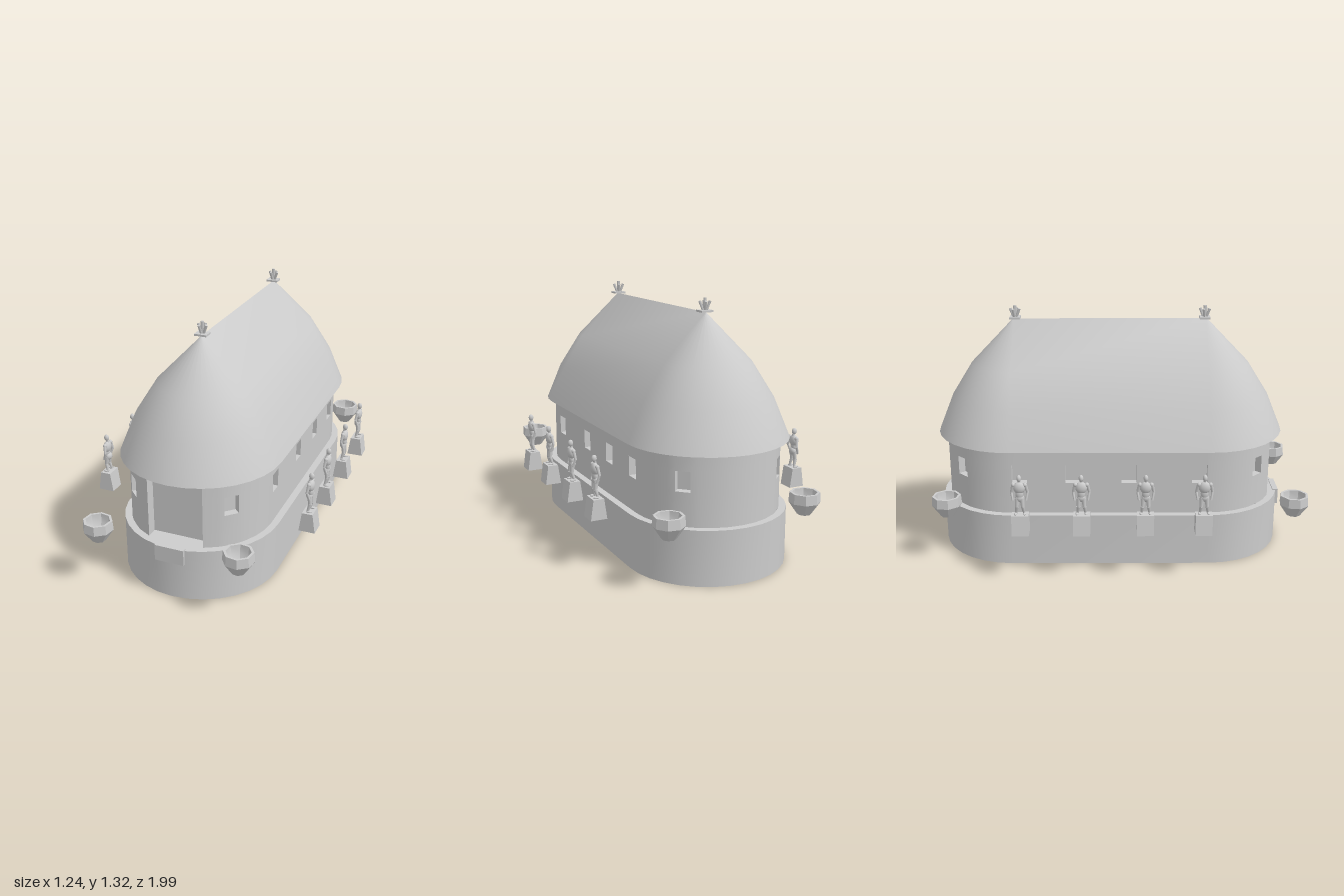
import * as THREE from 'three';
import { toCreasedNormals } from 'three/addons/utils/BufferGeometryUtils.js';

const mat = new THREE.MeshStandardMaterial({ color: 0xcccccc, side: THREE.DoubleSide });
const HALF = 0.52;       // half length of the ridge and of the straight sides
const EAVE = 0.635, SILL = 0.28, WALL_R = 0.378;

function add(parent, geometry, name, x = 0, y = 0, z = 0) {
  const mesh = new THREE.Mesh(geometry, mat);
  mesh.name = name;
  mesh.position.set(x, y, z);
  parent.add(mesh);
  return mesh;
}

// Tapered rod between two points
function rod(parent, name, a, b, ra, rb, sides = 8) {
  const p = new THREE.Vector3(...a), q = new THREE.Vector3(...b);
  const mesh = add(parent, new THREE.CylinderGeometry(rb, ra, p.distanceTo(q), sides), name);
  mesh.position.copy(p).add(q).multiplyScalar(0.5);
  mesh.quaternion.setFromUnitVectors(new THREE.Vector3(0, 1, 0), q.sub(p).normalize());
}

function ball(parent, name, x, y, z, sx, sy, sz) {
  add(parent, new THREE.SphereGeometry(1, 12, 8), name, x, y, z).scale.set(sx, sy, sz);
}

// Collects quads, dropping collapsed triangles
function quadBuilder() {
  const pos = [];
  const tri = (a, b, c) => {
    const n = b.clone().sub(a).cross(c.clone().sub(a));
    if (n.length() > 1e-9) for (const p of [a, b, c]) pos.push(p.x, p.y, p.z);
  };
  return {
    quad(a, b, c, d) { tri(a, b, c); tri(a, c, d); },
    build() {
      const g = new THREE.BufferGeometry();
      g.setAttribute('position', new THREE.Float32BufferAttribute(pos, 3));
      return toCreasedNormals(g, 0.6);
    },
  };
}

// Stations round the stadium plan; "open" marks the cell that starts there
function arc(cz, a0, openings) {
  const list = [];
  for (let i = 0; i <= 16; i++) {
    const a = a0 + (i / 16) * Math.PI;
    if (!openings.some(o => Math.abs(a - o.a) <= o.half + 0.02)) list.push({ cz, a });
  }
  for (const o of openings) {
    list.push({ cz, a: o.a - o.half, open: o.open }, { cz, a: o.a + o.half });
  }
  return list.sort((p, q) => p.a - q.a);
}

function plan(withOpenings) {
  const win = a => ({ a, half: 0.1, open: 'window' });
  const q = Math.PI / 4;
  const back = withOpenings ? [win(q), win(3 * q)] : [];
  const front = withOpenings ? [win(5 * q), { a: 6 * q, half: 0.4, open: 'door' }, win(7 * q)] : [];
  const zs = withOpenings ? [0.47, 0.1, -0.195, -0.475] : [];
  const right = zs.flatMap(z => [{ cz: z + 0.04, a: 0, open: 'window' }, { cz: z - 0.04, a: 0 }]);
  const left = [...zs].reverse().flatMap(z =>
    [{ cz: z - 0.04, a: Math.PI, open: 'window' }, { cz: z + 0.04, a: Math.PI }]);
  return [...right, ...arc(-HALF, 0, back), ...left, ...arc(HALF, Math.PI, front)];
}

const at = (s, r, y) => new THREE.Vector3(r * Math.cos(s.a), y, s.cz - r * Math.sin(s.a));

// Sweeps a [radius, height] profile round the plan
function sweep(profile) {
  const q = quadBuilder(), st = plan(false);
  st.forEach((s, i) => {
    const t = st[(i + 1) % st.length];
    for (let k = 0; k + 1 < profile.length; k++) {
      const [r0, y0] = profile[k], [r1, y1] = profile[k + 1];
      q.quad(at(s, r0, y0), at(t, r0, y0), at(t, r1, y1), at(s, r1, y1));
    }
  });
  return q.build();
}

// Wall with sunken windows and door
function wallGeometry() {
  const q = quadBuilder(), st = plan(true), ys = [SILL, 0.45, 0.55, EAVE];
  const cell = (s, t, y0, y1, depth) => {
    const c = [at(s, WALL_R, y0), at(t, WALL_R, y0), at(t, WALL_R, y1), at(s, WALL_R, y1)];
    if (!depth) return q.quad(...c);
    const a = (s.a + t.a) / 2;
    const inward = new THREE.Vector3(-Math.cos(a), 0, Math.sin(a)).multiplyScalar(depth);
    const d = c.map(p => p.clone().add(inward));
    q.quad(...d);
    for (let k = 0; k < 4; k++) q.quad(c[k], c[(k + 1) % 4], d[(k + 1) % 4], d[k]);
  };
  st.forEach((s, i) => {
    const t = st[(i + 1) % st.length];
    if (s.open === 'door') cell(s, t, SILL, EAVE, 0.06);
    else for (let k = 0; k < 3; k++) {
      cell(s, t, ys[k], ys[k + 1], s.open && k === 1 ? 0.04 : 0);
    }
  });
  return q.build();
}

// Crown of prongs on a square plate
function finial() {
  const g = new THREE.Group();
  g.name = 'ridgeFinial';
  add(g, new THREE.BoxGeometry(0.064, 0.01, 0.056), 'finialPlate', 0, 0.007, 0);
  rod(g, 'finialCentre', [0, 0.01, 0], [0, 0.072, 0], 0.009, 0.009, 4);
  for (let i = 0; i < 4; i++) {
    const a = i * Math.PI / 2 + 0.3, c = Math.cos(a), s = Math.sin(a);
    rod(g, 'finialProng', [0.008 * c, 0.01, 0.008 * s], [0.026 * c, 0.056, 0.026 * s], 0.007, 0.008, 4);
  }
  return g;
}

// Standing figure on a pedestal, facing +x
function statue() {
  const g = new THREE.Group();
  g.name = 'statue';
  const shape = new THREE.Shape([[-0.043, 0.266], [0.043, 0.266], [0.028, 0.37], [-0.028, 0.37]]
    .map(p => new THREE.Vector2(...p)));
  const ped = new THREE.ExtrudeGeometry(shape, { depth: 0.086, bevelEnabled: false });
  add(g, ped, 'pedestal', 0, 0, -0.043);
  ball(g, 'head', 0.004, 0.566, 0, 0.014, 0.018, 0.012);
  rod(g, 'neck', [-0.003, 0.53, 0], [0.002, 0.56, 0], 0.008, 0.007);
  ball(g, 'chest', 0.002, 0.514, 0, 0.019, 0.032, 0.03);
  ball(g, 'waist', 0.002, 0.482, 0, 0.014, 0.03, 0.02);
  ball(g, 'hips', -0.003, 0.458, 0, 0.018, 0.022, 0.023);
  for (const s of [-1, 1]) {
    rod(g, 'thigh', [0, 0.458, 0.012 * s], [0.005, 0.412, 0.015 * s], 0.013, 0.009);
    rod(g, 'calf', [0.005, 0.414, 0.015 * s], [-0.005, 0.372, 0.021 * s], 0.01, 0.006);
    ball(g, 'foot', 0.004, 0.374, 0.023 * s, 0.016, 0.006, 0.008);
    ball(g, 'shoulder', 0, 0.53, 0.029 * s, 0.011, 0.011, 0.011);
    rod(g, 'upperArm', [0, 0.53, 0.031 * s], [-0.006, 0.488, 0.041 * s], 0.009, 0.007);
    rod(g, 'forearm', [-0.006, 0.49, 0.041 * s], [0.007, 0.448, 0.034 * s], 0.007, 0.005);
  }
  return g;
}

function urnGeometry() {
  const profile = [[0, 0.267], [0.036, 0.267], [0.079, 0.33], [0.075, 0.379],
    [0.062, 0.379], [0.058, 0.335], [0.035, 0.3], [0, 0.3]];
  return toCreasedNormals(
    new THREE.LatheGeometry(profile.map(p => new THREE.Vector2(...p)), 8, 0.25), 0.5);
}

export function createModel() {
  const model = new THREE.Group();
  model.name = 'longhouse';

  const house = new THREE.Group();
  house.name = 'house';
  house.position.set(0.012, 0, -0.06);
  model.add(house);
  add(house, sweep([[0.415, 0], [0.415, SILL], [WALL_R, SILL]]), 'base');
  add(house, wallGeometry(), 'wall');
  add(house, sweep([[WALL_R, EAVE], [0.423, EAVE], [0.343, 0.828], [0.23, 1.008], [0, 1.246]]), 'roof');

  // Floor and head of the door recess, and the block in front of it
  for (const [name, y] of [['doorstep', SILL - 0.004], ['doorHead', EAVE + 0.004]]) {
    add(house, new THREE.BoxGeometry(0.294, 0.008, 0.09), name, 0, y, HALF + 0.333);
  }
  add(house, new THREE.BoxGeometry(0.156, 0.085, 0.03), 'frontBlock', -0.004, 0.243, HALF + 0.406);

  for (const s of [-1, 1]) {
    const f = finial();
    f.position.set(0, 1.244, s * (HALF - 0.012));
    house.add(f);
  }

  // Rows of statues on both sides
  for (const s of [-1, 1]) {
    for (const z of [0.415, 0.12, -0.203, -0.513]) {
      const fig = statue();
      fig.position.set(s * 0.578, 0, z);
      if (s < 0) fig.rotation.y = Math.PI;
      model.add(fig);
    }
  }

  // Urns at the corners
  const urn = urnGeometry();
  for (const x of [-0.363, 0.389]) {
    for (const z of [0.913, -0.923]) add(model, urn, 'urn', x, 0, z);
  }
  return model;
}
